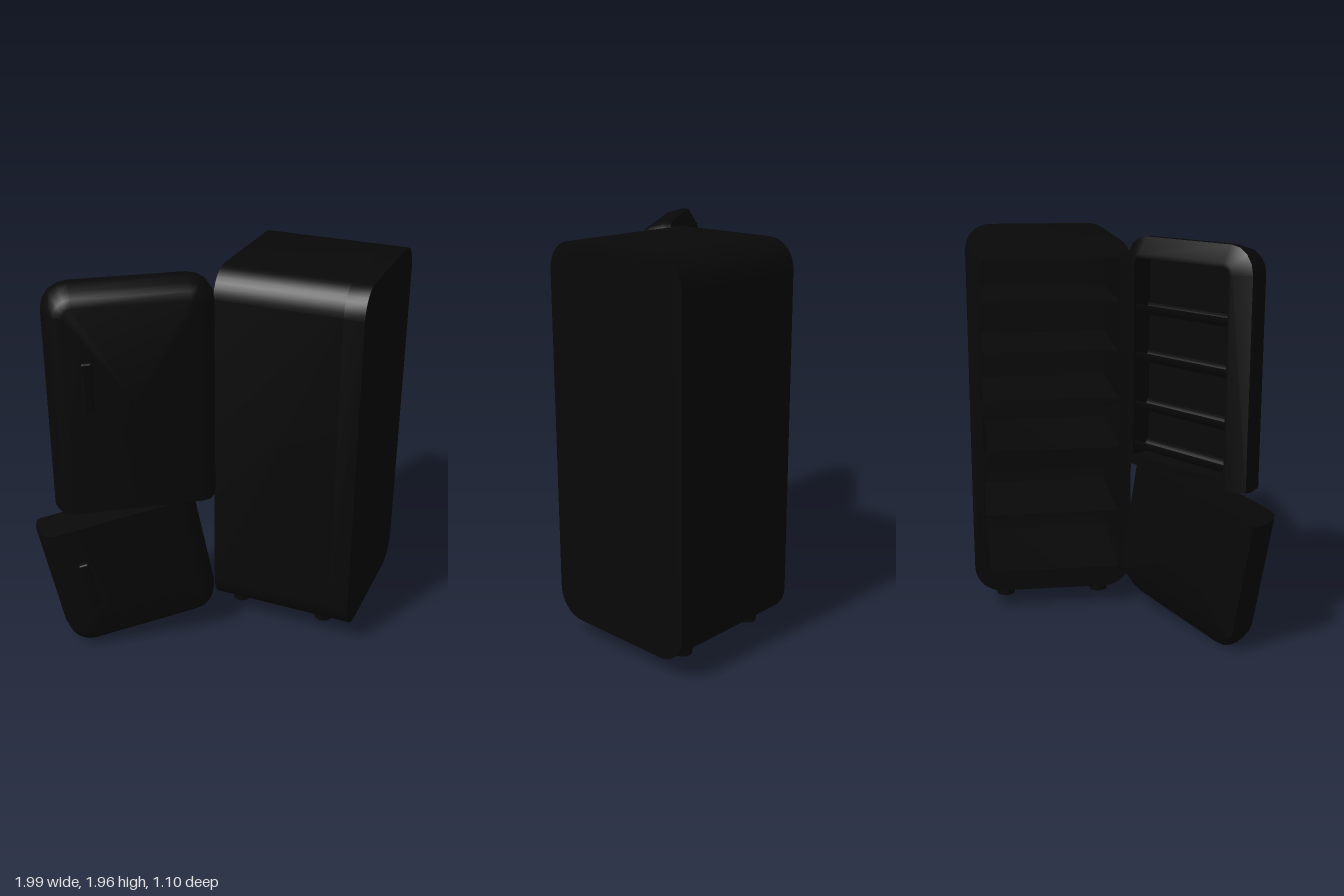
import * as THREE from 'three';
import { toCreasedNormals } from 'three/addons/utils/BufferGeometryUtils.js';
import { RoundedBoxGeometry } from 'three/addons/geometries/RoundedBoxGeometry.js';

const black = new THREE.MeshStandardMaterial({ color: 0x080808 });

function add(parent, name, geometry, x = 0, y = 0, z = 0) {
  const mesh = new THREE.Mesh(geometry, black);
  mesh.name = name;
  mesh.position.set(x, y, z);
  parent.add(mesh);
  return mesh;
}

// Rectangle with rounded corners, as a Shape or (for holes) a Path
function roundedRect(x0, y0, x1, y1, r, Type = THREE.Shape) {
  const p = new Type();
  p.moveTo(x0 + r, y0);
  p.lineTo(x1 - r, y0);
  p.absarc(x1 - r, y0 + r, r, -Math.PI / 2, 0);
  p.lineTo(x1, y1 - r);
  p.absarc(x1 - r, y1 - r, r, 0, Math.PI / 2);
  p.lineTo(x0 + r, y1);
  p.absarc(x0 + r, y1 - r, r, Math.PI / 2, Math.PI);
  p.lineTo(x0, y0 + r);
  p.absarc(x0 + r, y0 + r, r, Math.PI, Math.PI * 1.5);
  return p;
}

function extrude(shape, depth, curveSegments = 4) {
  const g = new THREE.ExtrudeGeometry(shape, { depth, bevelEnabled: false, curveSegments });
  return toCreasedNormals(g, 0.6);
}

// Door shell: straight cut edge at y = 0, rounded corners at y = h.
// Each section is [side inset, z, cut edge inset, far edge inset].
function doorGeometry(w, h, sections) {
  const positions = [], index = [], steps = 4, n = 2 * (steps + 1) + 2;
  for (const [side, z, cut, far] of sections) {
    const a = w / 2 - side, top = h - far;
    const r = Math.max(0.13 - Math.max(side, far), 0.03);
    positions.push(-a, cut, z, a, cut, z);
    for (const s of [1, -1]) {
      for (let k = 0; k <= steps; k++) {
        const t = (s > 0 ? k : steps - k) / steps * Math.PI / 2;
        positions.push(s * (a - r + r * Math.cos(t)), top - r + r * Math.sin(t), z);
      }
    }
  }
  const last = (sections.length - 1) * n, c = sections.length * n;
  positions.push(0, h / 2, sections[0][1], 0, h / 2, sections[sections.length - 1][1]);
  for (let i = 0; i < n; i++) {
    const k = (i + 1) % n;
    for (let j = 0; j < last; j += n) {
      index.push(j + i, j + k, j + n + k, j + i, j + n + k, j + n + i);
    }
    index.push(c, k, i, c + 1, last + i, last + k);
  }
  const g = new THREE.BufferGeometry();
  g.setAttribute('position', new THREE.Float32BufferAttribute(positions, 3));
  g.setIndex(index);
  return toCreasedNormals(g, 0.65);
}

// Half-round trough running along x
function binGeometry(length, r) {
  const s = new THREE.Shape();
  s.moveTo(-r, 0);
  s.absarc(0, 0, r, Math.PI, Math.PI * 2);
  s.lineTo(r - 0.012, 0);
  s.absarc(0, 0, r - 0.012, Math.PI * 2, Math.PI, true);
  const g = extrude(s, length, 8);
  g.translate(0, 0, -length / 2);
  g.rotateY(Math.PI / 2);
  return g;
}

function addHandle(parent, x, y, z) {
  const handle = new THREE.Group();
  handle.name = 'handle';
  handle.position.set(x, y, z);
  add(handle, 'handleBar', new RoundedBoxGeometry(0.05, 0.25, 0.02, 2, 0.009), 0, 0, 0.03);
  for (const s of [-1, 1]) add(handle, 'handleMount', new THREE.BoxGeometry(0.045, 0.04, 0.035), 0, s * 0.1, 0.01);
  parent.add(handle);
}

function createCabinet() {
  const cabinet = new THREE.Group();
  cabinet.name = 'cabinet';
  const w = 0.412, y0 = 0.107, y1 = 1.97, front = 0.37, back = -0.27;
  const cavities = [[0.22, 0.77], [0.88, 1.86]];

  // Shell with two open compartments and a closed back
  const shell = roundedRect(-w, y0, w, y1, 0.14);
  const frame = roundedRect(-w + 0.04, y0 + 0.04, w - 0.04, y1 - 0.04, 0.1);
  for (const [a, b] of cavities) {
    shell.holes.push(roundedRect(-0.35, a, 0.35, b, 0.03, THREE.Path));
    frame.holes.push(roundedRect(-0.35, a, 0.35, b, 0.03, THREE.Path));
  }
  add(cabinet, 'shell', extrude(shell, front - back), 0, 0, back);
  add(cabinet, 'backPanel', extrude(roundedRect(-w, y0, w, y1, 0.14), 0.1), 0, 0, -0.37);
  add(cabinet, 'frontFrame', extrude(frame, 0.014), 0, 0, front);

  // Shelves
  for (const y of [0.5, 1.12, 1.37, 1.63]) {
    add(cabinet, 'shelf', new THREE.BoxGeometry(0.7, 0.015, 0.58), 0, y, 0.02);
  }

  // Feet
  for (const x of [-0.25, 0.25]) {
    for (const z of [-0.195, 0.275]) {
      add(cabinet, 'foot', new THREE.CylinderGeometry(0.047, 0.047, 0.07, 16), x, 0.093, z);
    }
  }
  cabinet.position.set(0.455, 0, -0.005);
  cabinet.rotation.y = -2.186;
  return cabinet;
}

export function createModel() {
  const model = new THREE.Group();
  model.name = 'refrigerator';
  model.add(createCabinet());
  const outside = [[0, 0.09, 0, 0], [0, 0.13, 0, 0], [0.02, 0.2, 0, 0.02], [0.045, 0.235, 0, 0.045], [0.085, 0.25, 0, 0.085]];

  // Upper door, swung open, with a recessed inner side and bins
  const upper = new THREE.Group();
  upper.name = 'upperDoor';
  upper.position.set(-0.487, 0.82, 0);
  add(upper, 'upperDoorShell', doorGeometry(0.81, 1.15, [
    [0.1, 0.15, 0.05, 0.1], [0.1, 0.04, 0.05, 0.1], [0.08, 0.04, 0, 0.08], ...outside]));
  for (const y of [0.12, 0.33, 0.58, 0.82]) {
    add(upper, 'doorBin', binGeometry(0.61, 0.05), 0, y, 0.1);
  }
  addHandle(upper, -0.225, 0.685, 0.25);
  model.add(upper);

  // Lower door, hanging tilted from its hinge
  const lower = new THREE.Group();
  lower.name = 'lowerDoor';
  lower.position.set(-0.534, 0.414, 0);
  lower.rotation.z = 0.19;
  const panel = add(lower, 'lowerDoorShell', doorGeometry(0.81, 0.72, [[0.01, 0.04, 0, 0.09], ...outside]), 0, 0.36, 0);
  panel.rotation.z = Math.PI;
  addHandle(lower, -0.225, 0.05, 0.25);
  model.add(lower);
  return model;
}
